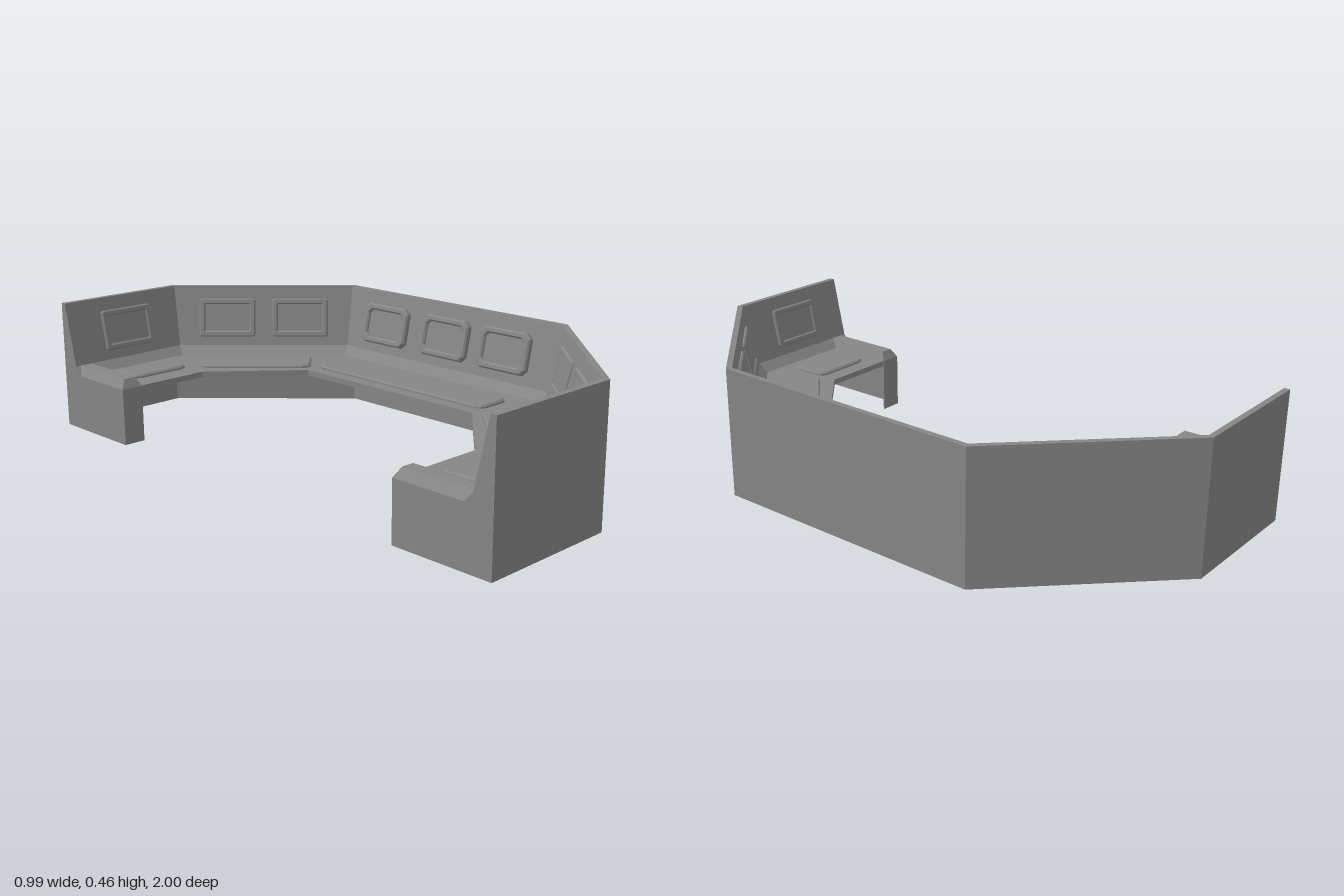
import * as THREE from 'three';

const material = new THREE.MeshStandardMaterial({ color: 0x868686, flatShading: true });
const V = (x, y, z) => new THREE.Vector3(x, y, z);

// Half-octagon plan: outer corner [x, z] and inward mitre direction [x, z]
const m = Math.tan(Math.PI / 8);
const plan = [
  { p: [-0.497, -0.998], d: [0, 1] },
  { p: [0, -1], d: [-m, 1] },
  { p: [0.497, -0.5], d: [-1, m], front: [0.145, -0.39] },
  { p: [0.497, 0.5], d: [-1, -m], front: [0.145, 0.39] },
  { p: [0, 1], d: [-m, -1] },
  { p: [-0.497, 0.998], d: [0, -1] },
];

// Cross-section: [inward offset, height]; a thin skin below the desk
const FRONT = 0.355, DESK = 0.2, SKIN = 0.004;
const profile = [
  [0, 0], [0, 0.455], [0.02, 0.455], [0.07, 0.232], [0.1, DESK],
  [FRONT, DESK], [FRONT, 0.18], [SKIN, 0.18], [SKIN, 0],
];

function add(parent, name, geometry) {
  const mesh = new THREE.Mesh(geometry, material);
  mesh.name = name;
  parent.add(mesh);
  return mesh;
}

// Sweeps the cross-section around the plan with mitred corners and closed ends
function consoleShell() {
  const rows = plan.map(({ p, d, front }) => profile.map(([o, y]) =>
    (o === FRONT && front) ? V(front[0], y, front[1]) : V(p[0] + d[0] * o, y, p[1] + d[1] * o)));
  const points = [], n = profile.length;
  for (let i = 0; i < rows.length - 1; i++) {
    for (let k = 0; k < n; k++) {
      const a = rows[i][k], b = rows[i][(k + 1) % n];
      const c = rows[i + 1][(k + 1) % n], e = rows[i + 1][k];
      points.push(a, b, c, a, c, e);
    }
  }
  const flat = profile.map(([o, y]) => new THREE.Vector2(o, y));
  const last = rows[rows.length - 1];
  for (const t of THREE.ShapeUtils.triangulateShape(flat, [])) {
    const [a, b, c] = THREE.ShapeUtils.area(t.map(i => flat[i])) > 0 ? t : [...t].reverse();
    points.push(rows[0][a], rows[0][b], rows[0][c], last[c], last[b], last[a]);
  }
  const geometry = new THREE.BufferGeometry().setFromPoints(points);
  geometry.computeVertexNormals();
  return geometry;
}

// Hollow end support: outer side, front plate and a ridge with sloped sides
function endSupport(side) {
  const group = new THREE.Group();
  group.name = 'endSupport';
  const length = 0.355, x = -0.497, w = 0.08, zFront = 0.64;
  const zMid = side * (zFront + length / 2);
  add(group, 'supportSide', new THREE.BoxGeometry(SKIN, DESK, length))
    .position.set(x + SKIN / 2, DESK / 2, zMid);
  add(group, 'supportFront', new THREE.BoxGeometry(w, DESK, SKIN))
    .position.set(x + w / 2, DESK / 2, side * (zFront + SKIN / 2));

  const ridge = new THREE.BoxGeometry(w, 0.032, length);
  const pos = ridge.attributes.position;
  for (let i = 0; i < pos.count; i++) {
    if (pos.getY(i) < 0) continue;
    pos.setX(i, pos.getX(i) < 0 ? -w / 2 + 0.02 : w / 2 - 0.015);
    if (pos.getZ(i) * side < 0) pos.setZ(i, pos.getZ(i) + side * 0.018);
    else pos.setZ(i, pos.getZ(i) - side * 0.02);
  }
  ridge.computeVertexNormals();
  add(group, 'supportRidge', ridge).position.set(x + w / 2, DESK + 0.016, zMid);
  return group;
}

// Rectangle with clipped corners
function clippedRect(w, h, c, Type = THREE.Shape) {
  const x = w / 2, y = h / 2;
  return new Type([
    [-x + c, -y], [x - c, -y], [x, -y + c], [x, y - c],
    [x - c, y], [-x + c, y], [-x, y - c], [-x, -y + c],
  ].map(q => new THREE.Vector2(...q)));
}

// Framed display, lying in the xy plane and facing +z
function display(w, h, depth, clip) {
  const group = new THREE.Group();
  group.name = 'wallDisplay';
  const b = Math.min(0.006, depth / 2);
  const frame = clippedRect(w - 2 * b, h - 2 * b, clip);
  frame.holes.push(clippedRect(w - 0.035, h - 0.035, clip, THREE.Path));
  add(group, 'displayFrame', new THREE.ExtrudeGeometry(frame, {
    depth: depth - b, bevelThickness: b, bevelSize: b, bevelSegments: 1,
  }));
  add(group, 'displayScreen', new THREE.BoxGeometry(w - 0.03, h - 0.03, depth * 0.6))
    .position.z = depth * 0.15;
  return group;
}

// Raised control pad with flared, rounded ends; its length runs along x
function controlPad(length, width) {
  const x = length / 2 - 0.006, y = width / 2 - 0.006;
  const flare = Math.min(0.09, length * 0.2);
  const half = [
    [x - flare, y - flare * 0.25], [x - flare * 0.55, y], [x - 0.02, y],
    [x - 0.004, y - 0.014], [x, y - 0.035],
    [x, -y + 0.025], [x - 0.006, -y + 0.008], [x - 0.025, -y],
  ];
  const outline = [...half, ...half.map(([a, b]) => [-a, b]).reverse()];
  const geometry = new THREE.ExtrudeGeometry(
    new THREE.Shape(outline.map(q => new THREE.Vector2(...q))),
    { depth: 0.006, bevelThickness: 0.006, bevelSize: 0.006, bevelSegments: 1 });
  return geometry.rotateX(-Math.PI / 2);
}

export function createModel() {
  const model = new THREE.Group();
  model.name = 'curvedConsole';
  add(model, 'wallAndDesk', consoleShell());
  for (const side of [-1, 1]) model.add(endSupport(side));

  // Displays on the sloped wall: wall midpoint, inward direction, shifts along the wall
  const r = Math.SQRT1_2;
  const walls = [
    { at: [0.497, 0], n: [-1, 0], shifts: [-0.28, 0.01, 0.28], depth: 0.022, clip: 0.016 },
    { at: [0.25, -0.75], n: [-r, r], shifts: [-0.14, 0.14], depth: 0.01, clip: 0.004 },
    { at: [0.25, 0.75], n: [-r, -r], shifts: [-0.14, 0.14], depth: 0.01, clip: 0.004 },
    { at: [-0.25, -1], n: [0, 1], shifts: [0], depth: 0.01, clip: 0.004 },
    { at: [-0.25, 1], n: [0, -1], shifts: [0], depth: 0.01, clip: 0.004 },
  ];
  for (const { at, n, shifts, depth, clip } of walls) {
    const up = V(-n[0] * 0.05, 0.223, -n[1] * 0.05).normalize();
    const out = V(n[0] * 0.223, 0.05, n[1] * 0.223).normalize();
    const along = up.clone().cross(out);
    for (const s of shifts) {
      const panel = display(0.215, 0.147, depth, clip);
      panel.quaternion.setFromRotationMatrix(new THREE.Matrix4().makeBasis(along, up, out));
      panel.position.set(at[0] + n[0] * 0.047, 0.336, at[1] + n[1] * 0.047)
        .addScaledVector(along, s);
      model.add(panel);
    }
  }

  // Control pads on the desk: x, z, turn, length, width
  const pads = [
    [0.262, 0, -Math.PI / 2, 0.78, 0.145],
    [0.08, -0.605, -Math.PI / 4, 0.41, 0.155],
    [0.08, 0.605, -Math.PI * 3 / 4, 0.41, 0.155],
    [-0.265, -0.8, 0, 0.235, 0.145],
    [-0.255, 0.775, Math.PI, 0.235, 0.145],
  ];
  for (const [x, z, turn, length, width] of pads) {
    const pad = add(model, 'controlPad', controlPad(length, width));
    pad.position.set(x, DESK, z);
    pad.rotation.y = turn;
  }
  return model;
}
